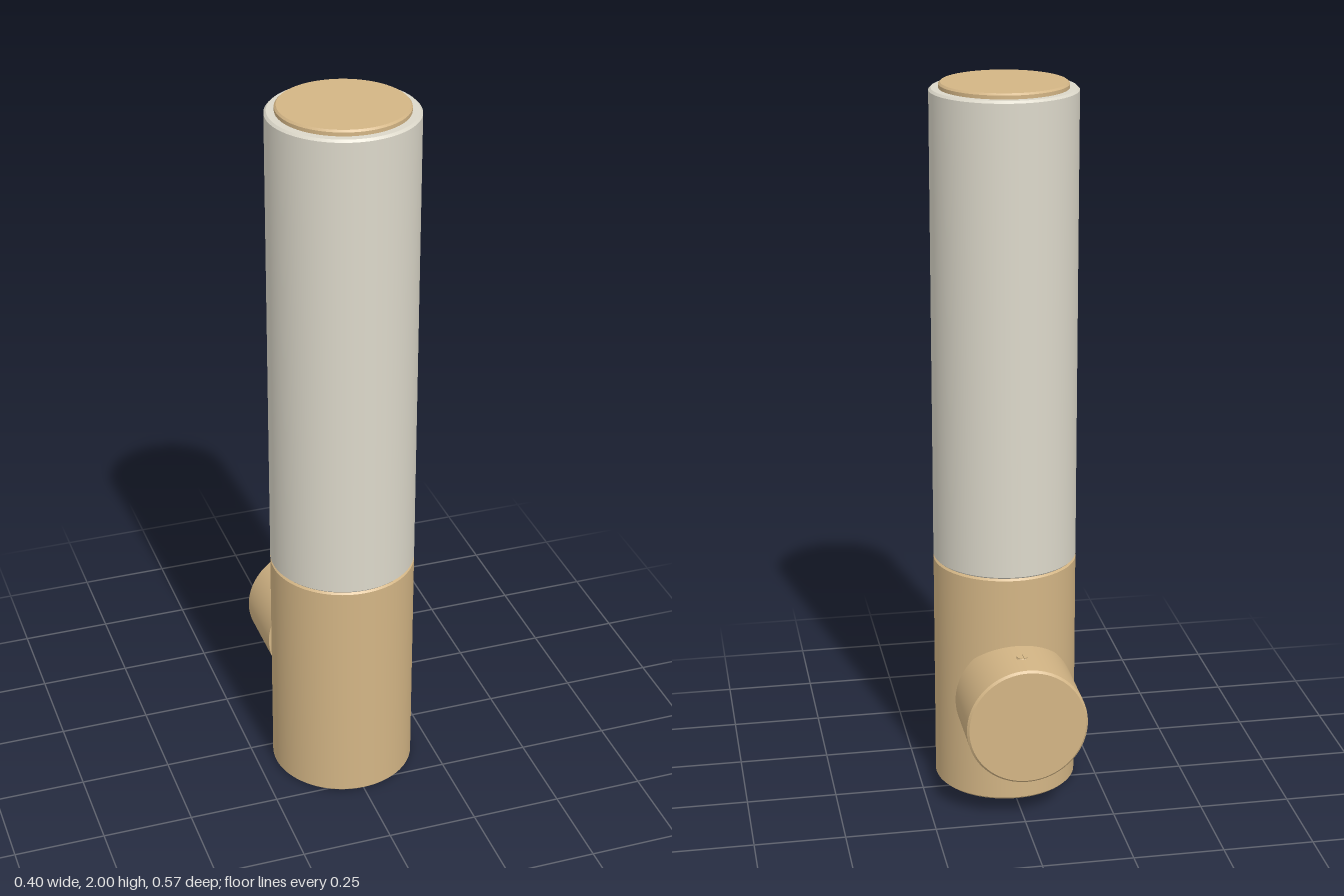
import * as THREE from 'three';
import { toCreasedNormals } from 'three/addons/utils/BufferGeometryUtils.js';

// Solid of revolution from a base-to-top profile of [radius, height] pairs
function turned(name, profile, material, segments = 96) {
  const points = profile.map(([r, h]) => new THREE.Vector2(r, h));
  const geometry = toCreasedNormals(new THREE.LatheGeometry(points, segments), 0.5);
  const mesh = new THREE.Mesh(geometry, material);
  mesh.name = name;
  return mesh;
}

// Closed cylinder profile with chamfered edges
function chamfered(radius, bottom, top, lower, upper) {
  return [
    [0, bottom], [radius - lower, bottom], [radius, bottom + lower],
    [radius, top - upper], [radius - upper, top], [0, top],
  ];
}

export function createModel() {
  const brass = new THREE.MeshStandardMaterial({ color: 0xd3b585 });
  brass.name = 'brass';
  const glass = new THREE.MeshStandardMaterial({ color: 0xdcd8ca });
  glass.name = 'frosted glass';

  const model = new THREE.Group();
  model.name = 'wallLamp';

  // Upright tube: brass base, glass shade, inset cap
  const column = new THREE.Group();
  column.name = 'column';
  column.position.z = 0.083;
  column.add(
    turned('base', chamfered(0.199, 0, 0.672, 0.006, 0.006), brass),
    turned('shade', chamfered(0.199, 0.672, 1.985, 0.004, 0.006), glass),
    turned('cap', chamfered(0.173, 1.97, 2, 0.001, 0.005), brass),
  );
  model.add(column);

  // Round wall mount running back into the base
  const mount = turned('wallMount', chamfered(0.167, 0.079, 0.285, 0.0005, 0.006), brass);
  mount.rotation.x = -Math.PI / 2;
  mount.position.y = 0.305;
  model.add(mount);

  // Slotted set screw on top of the mount
  const screw = new THREE.Group();
  screw.name = 'setScrew';
  screw.position.set(0, 0.468, -0.194);
  screw.add(turned('screwShank', chamfered(0.016, -0.01, 0.005, 0.001, 0.001), brass, 32));
  for (const side of [0, Math.PI]) {
    const half = new THREE.Shape();
    half.absarc(0, 0, 0.015, -1.35, 1.35, false);
    half.closePath();
    const geometry = new THREE.ExtrudeGeometry(half, {
      depth: 0.004, bevelEnabled: false, curveSegments: 16,
    });
    geometry.rotateX(-Math.PI / 2);
    const head = new THREE.Mesh(geometry, brass);
    head.name = 'screwHeadHalf';
    head.position.y = 0.0045;
    head.rotation.y = side;
    screw.add(head);
  }
  model.add(screw);

  return model;
}
